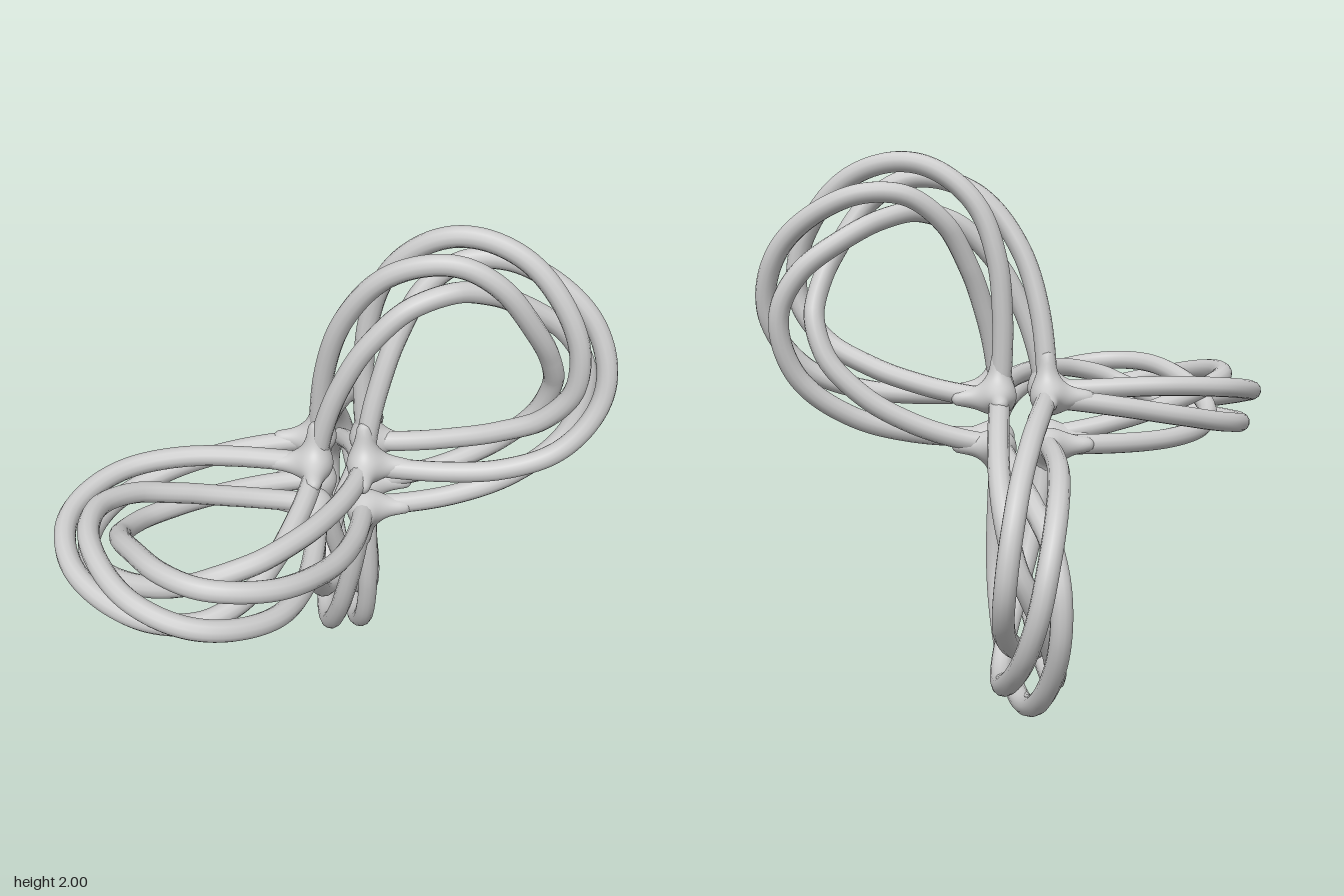
import * as THREE from 'three';
import { mergeVertices } from 'three/addons/utils/BufferGeometryUtils.js';

const CORNER = 0.09;   // half size of the central cube of junctions
const RADIUS = 0.039;  // strand thickness
const V = (x, y, z = 0) => new THREE.Vector3(x, y, z);

// Centre line of one looped arm: leaves through +y and returns through +x
function armPath() {
  const half = [[0, CORNER], [0.007, 0.22], [0.036, 0.4], [0.1, 0.6], [0.22, 0.78], [0.4, 0.867], [0.57, 0.835]];
  const back = half.map(([x, y]) => [y, x]).reverse();
  return new THREE.CatmullRomCurve3([...half, [0.722, 0.722], ...back].map(([x, y]) => V(x, y)), false, 'centripetal');
}

// One strand, making a full turn around the centre line, slower near the junctions
function strandGeometry(path, startAngle) {
  const points = [];
  const steps = 64;
  for (let i = 0; i <= steps; i++) {
    const s = i / steps;
    const p = path.getPointAt(s);
    const t = path.getTangentAt(s);
    const turned = THREE.MathUtils.lerp(s, THREE.MathUtils.smoothstep(s, 0, 1), 0.7);
    const angle = startAngle + 2 * Math.PI * turned;
    const spread = 0.097 + (CORNER * Math.SQRT2 - 0.097) * (1 - Math.sin(Math.PI * s)) ** 2;
    const out = spread * Math.cos(angle);
    points.push(V(p.x - t.y * out, p.y + t.x * out, spread * Math.sin(angle)));
  }
  return new THREE.TubeGeometry(new THREE.CatmullRomCurve3(points), 130, RADIUS, 12);
}

// Smoothly blended three-legged junction, legs along +x, +y and +z
function junctionGeometry() {
  const k = 0.03, legStart = 0.02, legEnd = 0.15, centre = 0.016;
  const leg = (a, b, c) => {
    const along = THREE.MathUtils.clamp(a, legStart, legEnd);
    return Math.hypot(a - along, b, c) - (RADIUS - 0.1 * Math.max(0, along - 0.04));
  };
  const distance = (p) => -k * Math.log(
    Math.exp(-leg(p.x, p.y, p.z) / k) + Math.exp(-leg(p.y, p.z, p.x) / k) + Math.exp(-leg(p.z, p.x, p.y) / k));

  let geo = new THREE.IcosahedronGeometry(1, 15);
  geo.deleteAttribute('uv');
  geo.deleteAttribute('normal');
  geo = mergeVertices(geo, 1e-5);
  const pos = geo.attributes.position;
  const dir = V(0, 0), p = V(0, 0);
  for (let i = 0; i < pos.count; i++) {
    dir.fromBufferAttribute(pos, i).normalize();
    // push each sphere vertex out to the blended surface
    let lo = 0, hi = 0.25;
    for (let n = 0; n < 22; n++) {
      const mid = (lo + hi) / 2;
      p.set(centre, centre, centre).addScaledVector(dir, mid);
      if (distance(p) < 0) lo = mid; else hi = mid;
    }
    pos.setXYZ(i, p.x, p.y, p.z);
  }
  return geo;
}

// Mirror a geometry by axis signs, keeping the faces outward
function mirrored(source, sx, sy, sz) {
  const geo = source.clone();
  geo.scale(sx, sy, sz);
  if (sx * sy * sz < 0) {
    const idx = geo.index;
    for (let i = 0; i < idx.count; i += 3) {
      const b = idx.getX(i + 1);
      idx.setX(i + 1, idx.getX(i + 2));
      idx.setX(i + 2, b);
    }
  }
  geo.computeVertexNormals();
  return geo;
}

export function createModel() {
  const model = new THREE.Group();
  model.name = 'twistedLoopSculpture';
  const body = new THREE.Group();
  body.name = 'knot';
  body.position.y = 1;
  model.add(body);
  const material = new THREE.MeshStandardMaterial({ color: 0xcccccc });

  // Three arms of four strands, related by a third of a turn about a cube diagonal
  const path = armPath();
  const strands = [0, 1, 2, 3].map((i) => strandGeometry(path, -Math.PI / 4 + i * Math.PI / 2));
  const turn = new THREE.Quaternion().setFromRotationMatrix(
    new THREE.Matrix4().makeBasis(V(0, -1, 0), V(0, 0, -1), V(1, 0, 0)));
  for (let a = 0; a < 3; a++) {
    const arm = new THREE.Group();
    arm.name = `loopedArm${a + 1}`;
    for (let n = 0; n < a; n++) arm.quaternion.premultiply(turn);
    strands.forEach((geo, i) => {
      const strand = new THREE.Mesh(geo, material);
      strand.name = `strand${i + 1}`;
      arm.add(strand);
    });
    body.add(arm);
  }

  // Eight junctions at the corners of the central cube
  const junction = junctionGeometry();
  for (const x of [-1, 1]) for (const y of [-1, 1]) for (const z of [-1, 1]) {
    const hub = new THREE.Mesh(mirrored(junction, x, y, z), material);
    hub.name = 'junction';
    hub.position.set(x, y, z).multiplyScalar(CORNER);
    body.add(hub);
  }
  return model;
}
